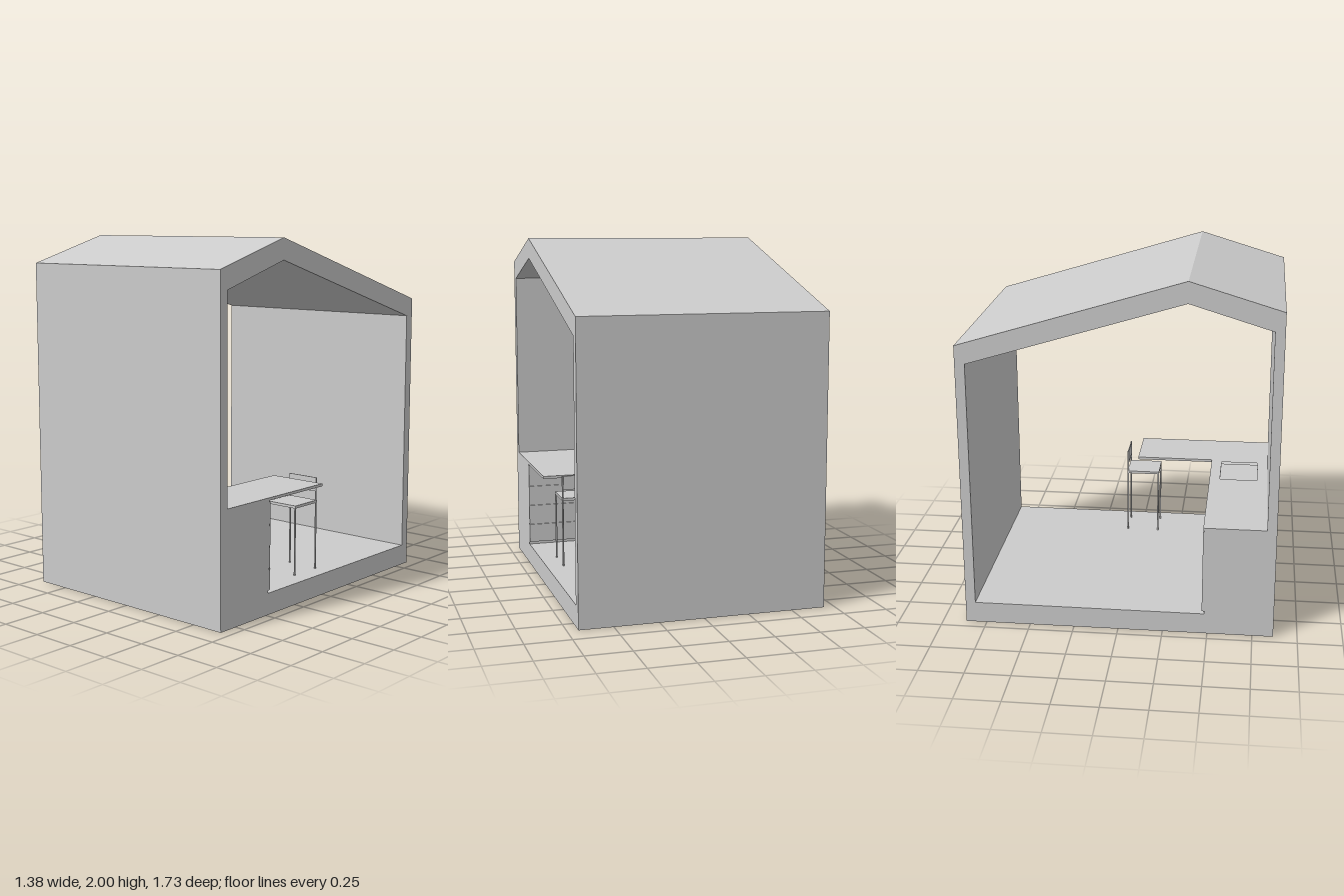
import * as THREE from 'three';

const HALF = 0.69; // half the width of the house slice
const FLOOR = 0.12;
const mat = new THREE.MeshStandardMaterial({ color: 0xcccccc, flatShading: true });

function add(parent, name, geo, x = 0, y = 0, z = 0) {
  const m = new THREE.Mesh(geo, mat);
  m.name = name;
  m.position.set(x, y, z);
  parent.add(m);
  return m;
}

// Box given by its limits on each axis
function block(parent, name, [x0, x1], [y0, y1], [z0, z1]) {
  return add(parent, name, new THREE.BoxGeometry(x1 - x0, y1 - y0, z1 - z0),
    (x0 + x1) / 2, (y0 + y1) / 2, (z0 + z1) / 2);
}

const points = (list) => list.map(([a, b]) => new THREE.Vector2(a, b));

// Horizontal slab from an (x, z) outline with an optional hole
function slab(outline, hole, y0, y1) {
  const flip = (list) => points(list.map(([x, z]) => [x, -z]));
  const shape = new THREE.Shape(flip(outline));
  if (hole) shape.holes.push(new THREE.Path(flip(hole)));
  const geo = new THREE.ExtrudeGeometry(shape, { depth: y1 - y0, bevelEnabled: false });
  return geo.rotateX(-Math.PI / 2).translate(0, y0, 0);
}

// Walls, floor and asymmetric gable roof as one (z, y) section, open at both ends
function buildShell(parent) {
  const shape = new THREE.Shape(points([
    [0.867, 0], [0.867, 1.85], [0.367, 2], [-0.867, 1.625], [-0.867, 0]]));
  shape.holes.push(new THREE.Path(points([
    [0.813, FLOOR], [0.813, 1.747], [0.367, 1.883], [-0.812, 1.525], [-0.812, FLOOR]])));
  const geo = new THREE.ExtrudeGeometry(shape, { depth: HALF * 2, bevelEnabled: false });
  geo.rotateY(-Math.PI / 2).translate(HALF, 0, 0);
  add(parent, 'houseShell', geo);
}

// Run of cabinets along the front wall, with sink, doors, drawers and desk
function buildKitchen(parent) {
  const g = new THREE.Group();
  g.name = 'kitchenCounter';
  parent.add(g);
  const unit = HALF / 2, wall = 0.813, front = 0.476, face = 0.468;
  const top = 0.64, under = 0.625, sinkFloor = 0.48, kick = 0.135;
  const sink = [[0.03, 0.53], [0.315, 0.53], [0.315, 0.75], [0.03, 0.75]];

  block(g, 'toeKick', [-HALF, HALF], [FLOOR, kick], [0.483, wall]);
  block(g, 'lowerCarcass', [-HALF, HALF], [kick, sinkFloor], [front, wall]);
  add(g, 'upperCarcass', slab(
    [[-HALF, front], [HALF, front], [HALF, wall], [-HALF, wall]], sink, sinkFloor, under));

  // Worktop turns the corner into a desk at the left end
  add(g, 'worktopAndDesk', slab([
    [-HALF, face], [unit, face], [unit, 0.01], [HALF, 0.01], [HALF, wall], [-HALF, wall],
  ], sink, under, top));

  const gap = 0.004, y0 = kick + 0.002, y1 = under - 0.008;
  for (let i = 0; i < 3; i++) {
    const x = -HALF + i * unit;
    block(g, 'cabinetDoor', [x + (i ? gap : 0), x + unit - gap], [y0, y1], [face, front]);
  }
  const step = (y1 - y0) / 4;
  for (let i = 0; i < 4; i++) {
    const y = y0 + i * step;
    block(g, 'drawerFront', [unit + gap, HALF], [y, y + step - (i < 3 ? 0.01 : 0)], [face, front]);
  }
}

// Slim chair facing the desk
function buildChair(parent) {
  const g = new THREE.Group();
  g.name = 'chair';
  parent.add(g);
  const x0 = 0.41, x1 = 0.593, zFront = 0.13, zBack = -0.06, seat = 0.52, back = 0.65;
  const leg = (name, x, z, h) =>
    add(g, name, new THREE.CylinderGeometry(0.005, 0.005, h, 10), x, FLOOR + h / 2, z);
  for (const x of [x0, x1]) {
    leg('frontLeg', x, zFront, seat - FLOOR - 0.005);
    leg('backLeg', x, zBack, back - FLOOR);
  }
  block(g, 'seat', [x0 - 0.005, x1 + 0.005], [seat - 0.015, seat], [zBack - 0.003, zFront + 0.005]);
  block(g, 'backrest', [x0, x1], [0.57, back], [zBack - 0.003, zBack + 0.003]);
}

export function createModel() {
  const model = new THREE.Group();
  model.name = 'houseSection';
  buildShell(model);
  buildKitchen(model);
  buildChair(model);
  return model;
}
